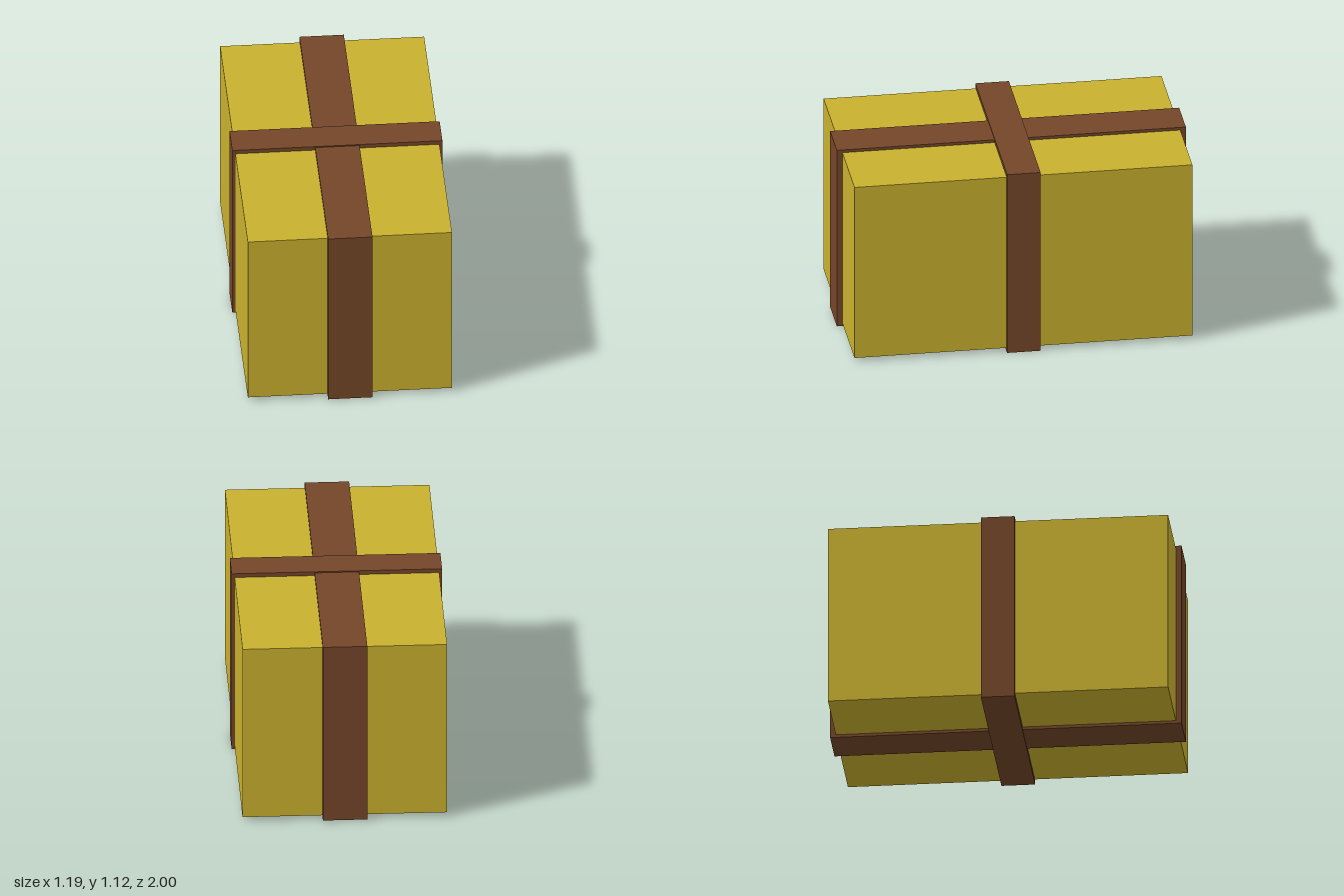
import * as THREE from 'three';

export function createModel() {
  const group = new THREE.Group();
  const paper = new THREE.MeshStandardMaterial({ color: 0xc9b02e });
  const ribbon = new THREE.MeshStandardMaterial({ color: 0x744628 });
  const midY = 0.5615;

  // All parts are blocks sharing one centre
  const addBlock = (name, width, height, depth, material) => {
    const mesh = new THREE.Mesh(new THREE.BoxGeometry(width, height, depth), material);
    mesh.name = name;
    mesh.position.y = midY;
    group.add(mesh);
  };

  // Wrapped box
  addBlock('box', 1.16, 1.075, 1.936, paper);
  // Wide ribbon running front to back
  addBlock('lengthwiseRibbon', 0.252, 1.109, 2, ribbon);
  // Narrower ribbon running side to side, slightly proud of the other
  addBlock('crosswiseRibbon', 1.194, 1.123, 0.192, ribbon);

  return group;
}
